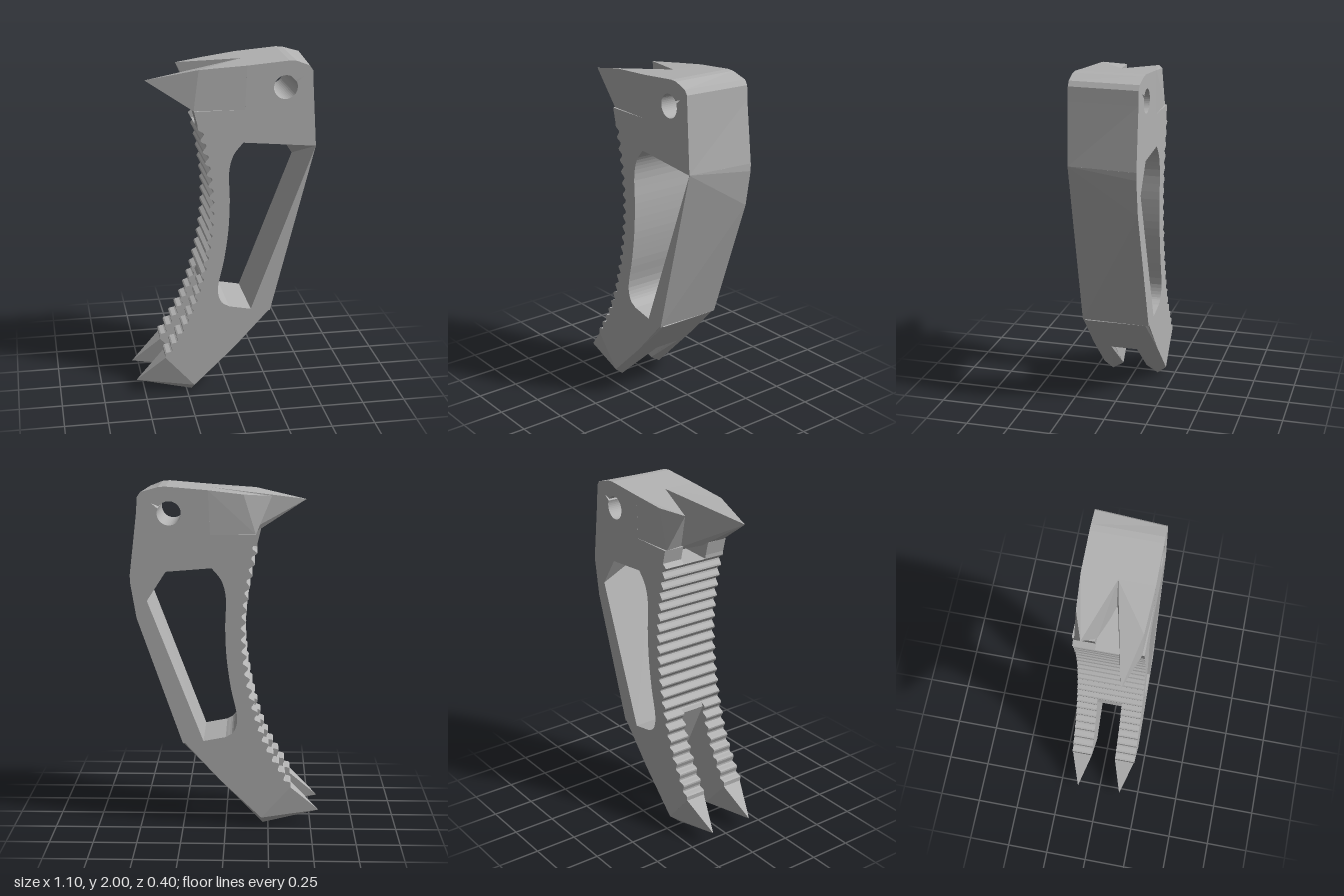
import * as THREE from 'three';
import { ConvexGeometry } from 'three/addons/geometries/ConvexGeometry.js';

const V2 = (p) => new THREE.Vector2(p[0], p[1]);

// Prism of a side outline between two depths
function prism(points, z0, z1, hole) {
  const shape = new THREE.Shape(points.map(V2));
  if (hole) shape.holes.push(new THREE.Path(hole.map(V2)));
  const geo = new THREE.ExtrudeGeometry(shape, { depth: z1 - z0, bevelEnabled: false });
  return geo.translate(0, 0, z0);
}

// Faceted solid around a few corners
const hull = (points) => new ConvexGeometry(points.map((p) => new THREE.Vector3(...p)));

const spline = (points) =>
  new THREE.CatmullRomCurve3(points.map((p) => new THREE.Vector3(p[0], p[1], 0)));

// Ribbed finger edge, running from top to bottom
function ribbedEdge() {
  const curve = spline([[-0.165, 1.63], [-0.125, 1.43], [-0.1, 1.2], [-0.11, 1.0],
    [-0.155, 0.75], [-0.235, 0.5], [-0.37, 0.26]]);
  const ribs = 21, steps = 8, out = [];
  for (let i = 0; i <= ribs * steps; i++) {
    const u = i / (ribs * steps);
    const p = curve.getPointAt(u), t = curve.getTangentAt(u);
    const d = 0.014 * Math.cos((i / steps) * Math.PI * 2);
    out.push([p.x + t.y * d, p.y - t.x * d]);
  }
  return out;
}

export function createModel() {
  const group = new THREE.Group();
  const grey = new THREE.MeshStandardMaterial({ color: 0xb2b2b2 });
  grey.name = 'grey';
  const add = (name, geo) => {
    const mesh = new THREE.Mesh(geo, grey);
    mesh.name = name;
    group.add(mesh);
  };

  // Grip: a middle layer and two outer layers that run on into the fork
  const ribs = ribbedEdge();
  const inner = [[0.24, 0.51], [0.13, 0.52],
    ...spline([[0, 0.545], [-0.045, 0.575], [-0.067, 0.65], [-0.03, 0.84], [-0.005, 1.02],
      [0.003, 1.2], [0, 1.38], [0.025, 1.47], [0.08, 1.54]]).getPoints(32).map((p) => [p.x, p.y])];
  add('gripCore', prism([...ribs.filter((p) => p[1] > 0.71), [-0.165, 0.69], [0.03, 0.28],
    ...inner, [0.1, 1.54], [0.1, 1.64]], -0.075, 0.075));
  const sideOutline = (neckX) => [[neckX, 1.73], [neckX + 0.02, 1.65], ...ribs, [-0.38, 0.24],
    [-0.21, 0.05], [0.03, 0.28], ...inner, [0.1, 1.54], [0.1, 1.73]];
  add('gripLeft', prism(sideOutline(-0.2), 0.075, 0.2));
  add('gripRight', prism(sideOutline(-0.17), -0.2, -0.075));

  // Fork tips and bevelled rear edges
  for (const s of [1, -1]) {
    add('forkTip', hull([
      [-0.38, 0.24, s * 0.075], [-0.38, 0.24, s * 0.197], [-0.21, 0.05, s * 0.075],
      [-0.21, 0.05, s * 0.2], [-0.22, 0.003, s * 0.145], [-0.55, 0.08, s * 0.135]]));
    add('forkBevel', hull([
      [-0.21, 0.05, s * 0.075], [-0.21, 0.05, s * 0.2], [-0.22, 0.003, s * 0.145],
      [0.05, 0.265, s * 0.08], [0.03, 0.28, s * 0.2], [0.03, 0.3, s * 0.075]]));
  }
  add('heelBevel', hull([[0.05, 0.265, 0.08], [0.05, 0.265, -0.08], [0.03, 0.28, 0.2],
    [0.03, 0.28, -0.2], [0.24, 0.52, 0.2], [0.24, 0.52, -0.2], [0.25, 0.505, 0.18],
    [0.25, 0.505, -0.18]]));

  // Head with a pin hole and its small nick; the rear face leans outward on one side
  const hole = [];
  for (let i = 0; i <= 40; i++) {
    const a = 0.62 + (i / 40) * (Math.PI * 2 - 0.22);
    hole.push([0.32 + 0.068 * Math.cos(a), 1.85 + 0.068 * Math.sin(a)]);
  }
  hole.push([0.42, 1.907]);
  const head = prism([[0.08, 1.54], [0.5, 1.502], [0.478, 1.86], [0.474, 1.94], [0.455, 1.968],
    [0.38, 1.997], [0.34, 2], [0.1, 1.98]], -0.2, 0.2, hole);
  const pos = head.attributes.position;
  for (let i = 0; i < pos.count; i++) {
    if (pos.getX(i) > 0.44 && pos.getZ(i) < 0) pos.setX(i, pos.getX(i) + 0.025);
    if (pos.getY(i) < 1.51 && pos.getZ(i) < 0) pos.setX(i, 0.545);
  }
  head.computeVertexNormals();
  add('head', head);

  // Two beaks either side of a V notch, one longer than the other
  add('longBeak', hull([[-0.465, 1.9, 0.12], [-0.17, 1.962, 0.187], [-0.2, 1.73, 0.187],
    [-0.15, 1.7, 0.07], [0.1, 1.98, 0], [0.1, 1.98, 0.2], [0.1, 1.6, 0], [0.1, 1.6, 0.2]]));
  add('shortBeak', hull([[-0.26, 1.942, -0.13], [-0.1, 1.955, -0.185], [-0.17, 1.73, -0.187],
    [-0.14, 1.7, -0.07], [0.1, 1.98, 0], [0.1, 1.98, -0.2], [0.1, 1.6, 0], [0.1, 1.6, -0.2]]));

  // Twisted rear strut that closes the window
  add('strut', hull([[0.13, 0.52, 0.2], [0.13, 0.52, -0.2], [0.245, 0.505, 0.2],
    [0.25, 0.505, -0.2], [0.5, 1.502, 0.2], [0.545, 1.46, -0.2], [0.51, 1.25, -0.2],
    [0.45, 1.35, -0.2]]));
  add('strutBrace', hull([[0.34, 1.52, -0.2], [0.45, 1.35, -0.2], [0.545, 1.46, -0.2],
    [0.545, 1.505, -0.2], [0.5, 1.502, 0.2]]));

  return group;
}
